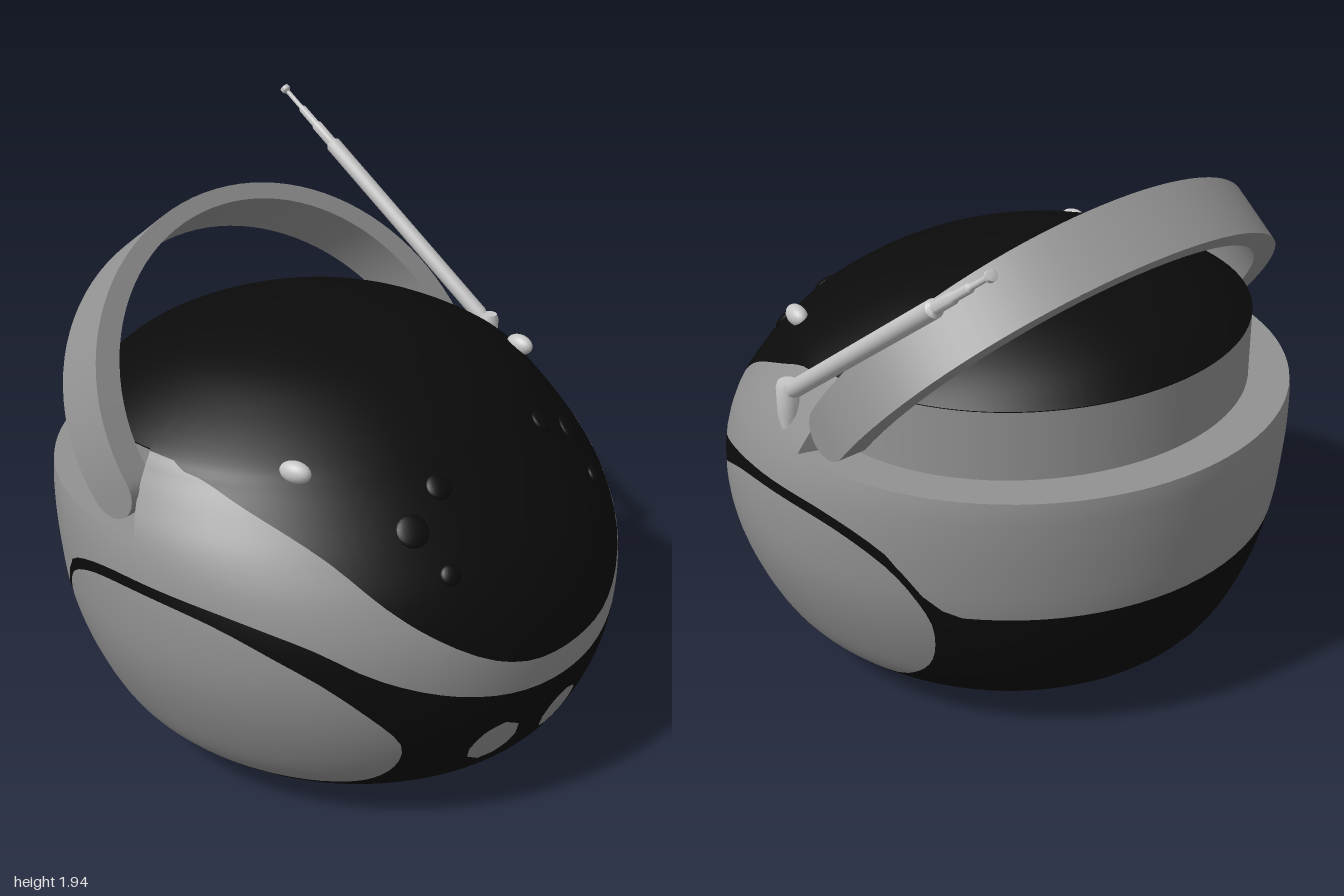
import * as THREE from 'three';
import { toCreasedNormals } from 'three/addons/utils/BufferGeometryUtils.js';

const V2 = (x, y) => new THREE.Vector2(x, y);
const V3 = (x, y, z) => new THREE.Vector3(x, y, z);

// Body cross-sections, bottom to top: height, half width, front z, back z
const SECTIONS = [
  [0, 0, 0.1, 0.1], [0, 0.43, 0.47, -0.28], [0.04, 0.6, 0.63, -0.55], [0.11, 0.71, 0.79, -0.71],
  [0.22, 0.82, 0.895, -0.83], [0.4, 0.91, 0.975, -0.915], [0.58, 0.965, 1.0, -0.96],
  [0.75, 0.98, 0.985, -0.98], [0.9, 0.97, 0.92, -0.99], [1.02, 0.94, 0.83, -0.99],
  [1.12, 0.89, 0.74, -0.96], [1.2, 0.84, 0.655, -0.9], [1.26, 0.79, 0.585, -0.84],
  [1.35, 0.64, 0.45, -0.73], [1.43, 0.45, 0.27, -0.55], [1.48, 0.22, 0.04, -0.33],
  [1.495, 0, -0.13, -0.13],
];
const LEDGE = 9, WALL_TOP = 12, LAST = SECTIONS.length - 1;
const widthCurve = new THREE.SplineCurve(SECTIONS.map(s => V2(s[1], s[0])));
const depthCurve = new THREE.SplineCurve(SECTIONS.map(s => V2(s[2], s[3])));

function section(i) {
  const a = widthCurve.getPoint(i / LAST), b = depthCurve.getPoint(i / LAST);
  return { y: Math.max(0, a.y), w: Math.max(0, a.x), c: (b.x + b.y) / 2, h: Math.max(0, (b.x - b.y) / 2) };
}

// Point on the front of the body at a given x and y
function onFront(x, y) {
  let lo = 1, hi = LAST;
  for (let k = 0; k < 30; k++) {
    const mid = (lo + hi) / 2;
    if (section(mid).y < y) lo = mid; else hi = mid;
  }
  const s = section(lo);
  return V3(x, y, s.c + s.h * Math.sqrt(Math.max(0, 1 - (x / s.w) ** 2)));
}

// Surface through rows of points, faces outward where rowDir x colDir points out
function loft(rows, crease) {
  const pos = [];
  const tri = (a, b, c) => {
    const area = b.clone().sub(a).cross(c.clone().sub(a)).length();
    if (area > 1e-9) for (const p of [a, b, c]) pos.push(p.x, p.y, p.z);
  };
  for (let i = 0; i < rows.length - 1; i++) {
    for (let j = 0; j < rows[i].length - 1; j++) {
      tri(rows[i][j], rows[i + 1][j], rows[i + 1][j + 1]);
      tri(rows[i][j], rows[i + 1][j + 1], rows[i][j + 1]);
    }
  }
  const g = new THREE.BufferGeometry();
  g.setAttribute('position', new THREE.Float32BufferAttribute(pos, 3));
  return toCreasedNormals(g, crease);
}

// Body shell with a stepped recess round the back for the handle
function bodyGeometry() {
  const angles = [];
  for (let k = 0; k <= 96; k++) {
    angles.push(-k / 96 * Math.PI * 2);
    if (k === 24) angles.push(-Math.PI / 2 - 0.012);
    if (k === 71) angles.push(-Math.PI * 1.5 + 0.012);
  }
  const ring = (i, recessed) => {
    const s = section(i), wall = section(WALL_TOP);
    return angles.map(a => {
      const q = recessed && Math.cos(a) < -1e-6 ? wall : s;
      return V3(q.w * Math.sin(a), s.y, q.c + q.h * Math.cos(a));
    });
  };
  const rows = [];
  for (let k = 0; k <= LAST * 4; k++) {
    const i = k / 4;
    rows.push(ring(i, i > LEDGE && i < WALL_TOP));
    if (i === LEDGE) rows.push(ring(i, true));
  }
  return loft(rows, 0.6);
}

// Cut triangles along the line where field(p) = 0
function split(tris, field) {
  const inside = [], outside = [];
  for (const t of tris) {
    const f = t.map(v => field(v.p));
    for (const [sign, out] of [[1, inside], [-1, outside]]) {
      const poly = [];
      for (let k = 0; k < 3; k++) {
        const m = (k + 1) % 3, a = f[k] * sign, b = f[m] * sign;
        if (a > 0 || (a === 0 && sign < 0)) poly.push(t[k]);
        if (a * b < 0) {
          const u = f[k] / (f[k] - f[m]);
          poly.push({ p: t[k].p.clone().lerp(t[m].p, u), n: t[k].n.clone().lerp(t[m].n, u).normalize() });
        }
      }
      for (let k = 2; k < poly.length; k++) out.push([poly[0], poly[k - 1], poly[k]]);
    }
  }
  return [inside, outside];
}

const toTris = g => {
  const p = g.attributes.position, n = g.attributes.normal, tris = [];
  const v = i => ({ p: V3().fromBufferAttribute(p, i), n: V3().fromBufferAttribute(n, i) });
  for (let i = 0; i < p.count; i += 3) tris.push([v(i), v(i + 1), v(i + 2)]);
  return tris;
};
const fromTris = tris => {
  const g = new THREE.BufferGeometry(), vs = tris.flat();
  g.setAttribute('position', new THREE.Float32BufferAttribute(vs.flatMap(v => v.p.toArray()), 3));
  g.setAttribute('normal', new THREE.Float32BufferAttribute(vs.flatMap(v => v.n.toArray()), 3));
  return g;
};

// Height of a smooth line at z, from points ordered front to back
function heightLine(points) {
  const pts = new THREE.SplineCurve(points.map(p => V2(...p))).getPoints(80);
  return z => {
    const k = pts.findIndex(p => p.x <= z);
    if (k <= 0) return pts[k < 0 ? pts.length - 1 : 0].y;
    const a = pts[k - 1], b = pts[k];
    return a.y + (b.y - a.y) * (a.x - z) / (a.x - b.x);
  };
}
const bandTop = heightLine([[1.02, 0.61], [0.97, 0.625], [0.8, 0.8], [0.5, 1.04], [0.145, 1.2], [0, 1.235], [-0.12, 1.255], [-1, 1.257]]);
const bandBottom = heightLine([[1.02, 0.495], [0.96, 0.515], [0.7, 0.68], [0.52, 0.79], [0.25, 0.865], [-0.07, 0.89],
  [-0.28, 0.866], [-0.44, 0.79], [-0.52, 0.67], [-0.6, 0.59], [-0.7, 0.58], [-1, 0.575]]);

// Signed distance to the rounded speaker outline in side view (z, y)
const outline = new THREE.CatmullRomCurve3([[0.73, 0.42], [0.6, 0.63], [0.4, 0.76], [0.2, 0.83], [-0.1, 0.853],
  [-0.3, 0.82], [-0.45, 0.73], [-0.535, 0.57], [-0.52, 0.43], [-0.45, 0.3], [-0.3, 0.19], [-0.13, 0.157],
  [0.2, 0.155], [0.45, 0.157], [0.6, 0.2], [0.7, 0.3]].map(p => V3(p[0], p[1], 0)), true).getPoints(80);
function speakerField({ z, y }) {
  let d = 9, inside = false;
  for (let k = 0; k < outline.length - 1; k++) {
    const a = outline[k], b = outline[k + 1], ex = b.x - a.x, ey = b.y - a.y;
    const u = THREE.MathUtils.clamp(((z - a.x) * ex + (y - a.y) * ey) / (ex * ex + ey * ey), 0, 1);
    d = Math.min(d, Math.hypot(z - a.x - u * ex, y - a.y - u * ey));
    if ((a.y > y) !== (b.y > y) && z < a.x + (y - a.y) / ey * ex) inside = !inside;
  }
  return inside ? d : -d;
}
const buttonField = p => p.z < 0 ? -1 : 0.087 - Math.min(...[-0.3, 0, 0.3].map(x => Math.hypot(p.x - x, p.y - 0.31)));

// Arched carrying handle with rounded lower ends, built upright
function handleGeometry() {
  const rows = [];
  const add = (xo, yo, xi, yi, h) => rows.push([[xo, yo, -h], [xo, yo, h], [xi, yi, h], [xi, yi, -h], [xo, yo, -h]].map(p => V3(...p)));
  const end = (side, k) => {
    const a = k / 8 * Math.PI / 2;
    add(side * 0.91, -0.09 * Math.cos(a), side * 0.81, -0.09 * Math.cos(a), 0.09 * Math.sin(a));
  };
  for (let k = 0; k < 8; k++) end(1, k);
  for (let k = 0; k <= 48; k++) {
    const a = k / 48 * Math.PI, c = Math.cos(a), s = Math.sin(a);
    add(0.91 * c, 0.77 * s, 0.81 * c, 0.71 * s, 0.09 + 0.025 * s);
  }
  for (let k = 7; k >= 0; k--) end(-1, k);
  return loft(rows, 0.6);
}

export function createModel() {
  const mat = (name, color) => Object.assign(new THREE.MeshStandardMaterial({ color }), { name });
  const black = mat('black', 0x0b0b0b), grey = mat('grey', 0x929292), light = mat('light grey', 0xc6c6c6);
  const model = new THREE.Group();
  const add = (name, geometry, material, parent = model) => {
    const m = new THREE.Mesh(geometry, material);
    m.name = name;
    parent.add(m);
    return m;
  };

  // Body shell divided into its coloured zones
  const [dome, below] = split(toTris(bodyGeometry()), p => p.y - bandTop(p.z));
  const [band, lower] = split(below, p => p.y - bandBottom(p.z));
  const [speakers, rest] = split(lower, speakerField);
  const [buttons, base] = split(rest, buttonField);
  add('domeLid', fromTris(dome), black);
  add('trimBand', fromTris(band), grey);
  add('speakers', fromTris(speakers), grey);
  add('frontButtons', fromTris(buttons), grey);
  add('lowerBody', fromTris(base), black);

  // Handle leaning back from its pivots
  const handle = add('handle', handleGeometry(), grey);
  handle.position.set(0, 1.13, -0.2);
  handle.rotation.x = -0.672;

  // Antenna: socket and telescopic rod
  const antenna = new THREE.Group();
  antenna.name = 'antenna';
  antenna.position.set(0.89, 1.2, 0);
  model.add(antenna);
  const lathe = pts => toCreasedNormals(new THREE.LatheGeometry(pts.map(p => V2(...p)), 16), 0.6);
  add('antennaSocket', lathe([[0, -0.18], [0.022, -0.17], [0.037, -0.09], [0.037, 0], [0.03, 0.02], [0, 0.02]]), light, antenna)
    .position.z = 0.03;
  add('antennaRod', lathe([[0, -0.02], [0.022, -0.01], [0.03, 0.02], [0.03, 0.9], [0.02, 0.91], [0.02, 1.0], [0.015, 1.01],
    [0.015, 1.09], [0.009, 1.1], [0.009, 1.18], [0.018, 1.19], [0.018, 1.205], [0, 1.21]]), light, antenna)
    .rotation.x = -0.925;

  // Lid latches and low round knobs, mirrored
  const ball = new THREE.SphereGeometry(1, 20, 12);
  for (const side of [-1, 1]) {
    const latch = add('lidLatch', ball, light);
    latch.position.set(side * 0.635, 1.26, 0.33);
    latch.scale.set(0.032, 0.036, 0.055);
    latch.rotation.y = side * -0.15;
    for (const [x, y, r] of [[0.3, 1.17, 0.045], [0.46, 1.085, 0.055], [0.43, 0.96, 0.035]]) {
      const p = onFront(side * x, y), e = 0.01;
      const dx = onFront(side * x + e, y).sub(p), dy = onFront(side * x, y + e).sub(p);
      const knob = add('lidKnob', ball, black);
      knob.position.copy(p);
      knob.lookAt(p.clone().add(dx.cross(dy).normalize()));
      knob.scale.set(r, r, 0.015);
    }
  }
  return model;
}
